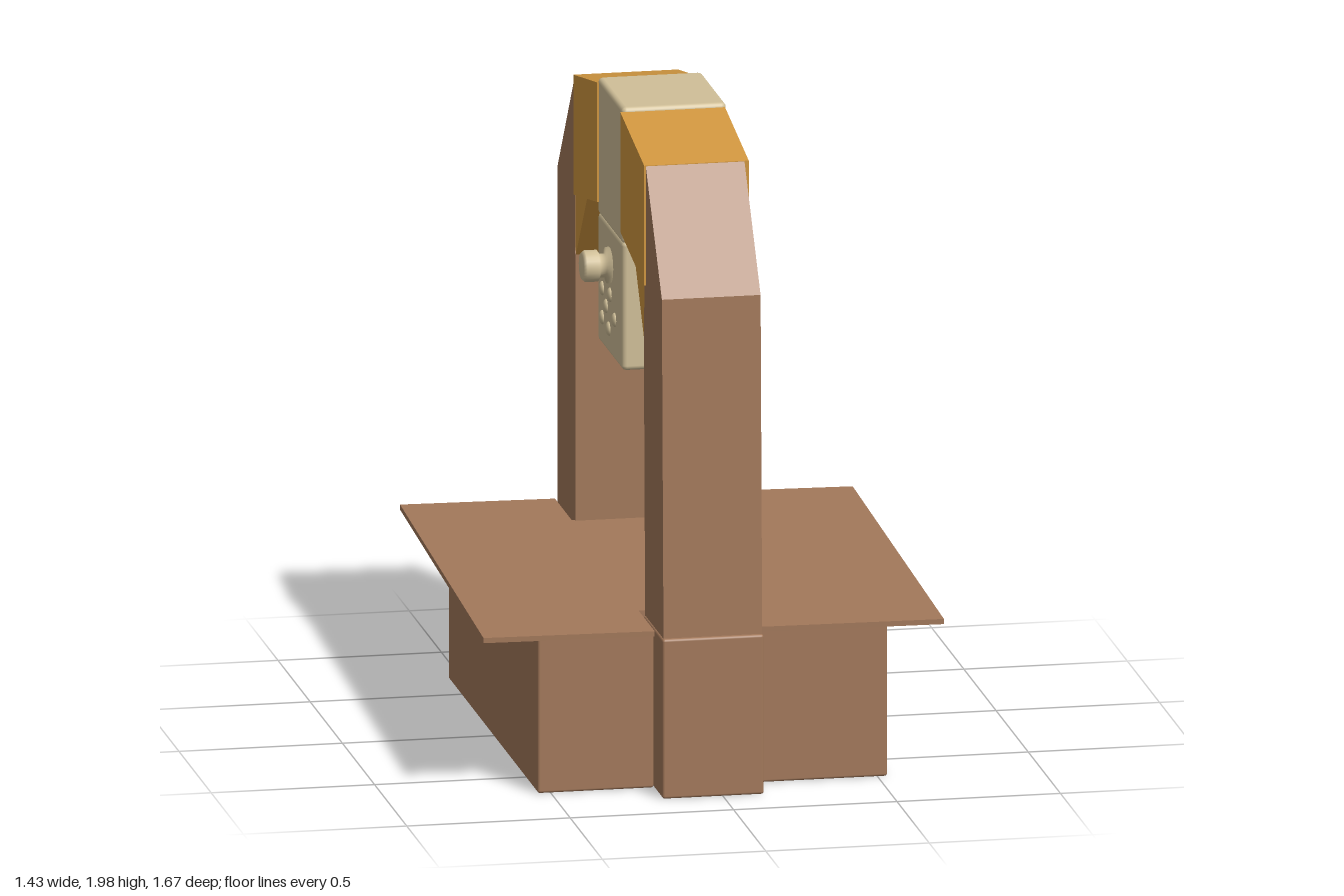
import * as THREE from 'three';
import { RoundedBoxGeometry } from 'three/addons/geometries/RoundedBoxGeometry.js';

const mat = (name, color) => {
  const m = new THREE.MeshStandardMaterial({ color });
  m.name = name;
  return m;
};

export function createModel() {
  const model = new THREE.Group();
  const brown = mat('brown wood', 0xa2785a);
  const orange = mat('orange panel', 0xd0963f);
  const beige = mat('beige casing', 0xd0bf98);

  const add = (name, geometry, material) => {
    const mesh = new THREE.Mesh(geometry, material);
    mesh.name = name;
    model.add(mesh);
    return mesh;
  };

  // Side profile given as [z, y], extruded from x0 to x1
  const slab = (name, profile, x0, x1, material) => {
    const shape = new THREE.Shape(profile.map(([z, y]) => new THREE.Vector2(-z, y)));
    const g = new THREE.ExtrudeGeometry(shape, { depth: x1 - x0, bevelEnabled: false });
    g.rotateY(Math.PI / 2).translate(x0, 0, 0);
    return add(name, g, material);
  };

  // Box given by its limits, with softened edges
  const box = (name, [x0, x1], [y0, y1], [z0, z1], material, r = 0.008) => {
    const g = new RoundedBoxGeometry(x1 - x0, y1 - y0, z1 - z0, 2, r);
    g.translate((x0 + x1) / 2, (y0 + y1) / 2, (z0 + z1) / 2);
    return add(name, g, material);
  };

  // Two long boxes under the table, with an open gap between them
  box('leftBaseBox', [0.125, 0.53], [0.02, 0.515], [-0.69, 0.70], brown);
  box('rightBaseBox', [-0.54, -0.185], [0.02, 0.515], [-0.69, 0.70], brown);

  // Thin, slightly skewed table top, notched around both pillars
  const outline = [
    [-0.72, 0.77], [-0.2, 0.79], [-0.2, 0.54], [0.125, 0.54], [0.125, 0.8], [0.68, 0.815],
    [0.715, -0.78], [0.14, -0.81], [0.125, -0.55], [-0.19, -0.55], [-0.19, -0.81], [-0.66, -0.83],
  ];
  const top = new THREE.ExtrudeGeometry(
    new THREE.Shape(outline.map(([x, z]) => new THREE.Vector2(x, -z))),
    { depth: 0.016, bevelEnabled: false });
  add('tableTop', top.rotateX(-Math.PI / 2).translate(0, 0.514, 0), brown);

  // Each half of the arch
  for (const [side, s] of [['front', 1], ['back', -1]]) {
    const lean = s > 0 ? 0.80 : 0.82;
    const inner = s > 0 ? 0.52 : 0.545;
    const m = (pts) => pts.map(([z, y]) => [z * s, y]);

    box(side + 'Foot', [-0.185, 0.125], [0.02, 0.515], s > 0 ? [0.54, 0.838] : [-0.828, -0.54], brown);
    slab(side + 'Pillar', m([[0.825, 0.51], [lean, 1.56], [inner, 1.355], [0.54, 0.51]]), -0.18, 0.122, brown);
    slab(side + 'Shoulder', m([[lean, 1.56], [0.55, 1.91], [0.55, 1.375], [inner, 1.355]]), -0.18, 0.122, brown);
    // Orange brace under the panel, then the panel itself
    slab(side + 'Brace', m([[0.55, 1.56], [0.55, 1.375], [inner, 1.355], [0.37, 1.575], [0.36, 1.6]]),
      -0.178, 0.12, orange);
    slab(side + 'Panel', m([[0.55, 1.54], [0.55, 1.912], [0.18, 1.983], [0.18, 1.612]]), -0.185, 0.135, orange);
  }

  // Beige keystone and the control box hanging from it
  box('keystone', [-0.18, 0.14], [1.572, 1.996], [-0.2, 0.182], beige, 0.015);
  box('controlBox', [-0.18, 0.122], [1.18, 1.58], [-0.198, 0.185], beige, 0.015);

  // Turned knob on the right face
  const knobProfile = [[0, 0], [0.055, 0], [0.055, 0.014], [0.036, 0.018], [0.036, 0.035],
    [0.048, 0.042], [0.048, 0.08], [0.04, 0.09], [0, 0.09]];
  const knob = new THREE.LatheGeometry(knobProfile.map(([r, y]) => new THREE.Vector2(r, y)), 24);
  add('knob', knob.rotateZ(Math.PI / 2).translate(-0.177, 1.46, -0.01), beige);

  // Small round studs below the knob
  const studs = [[-0.12, 1.36], [0.0, 1.37], [0.07, 1.31], [-0.06, 1.32], [-0.12, 1.27], [-0.02, 1.26]];
  for (const [z, y] of studs) {
    const stud = new THREE.SphereGeometry(0.022, 14, 8).scale(0.5, 1, 1);
    add('stud', stud.translate(-0.18, y, z), beige);
  }
  return model;
}
